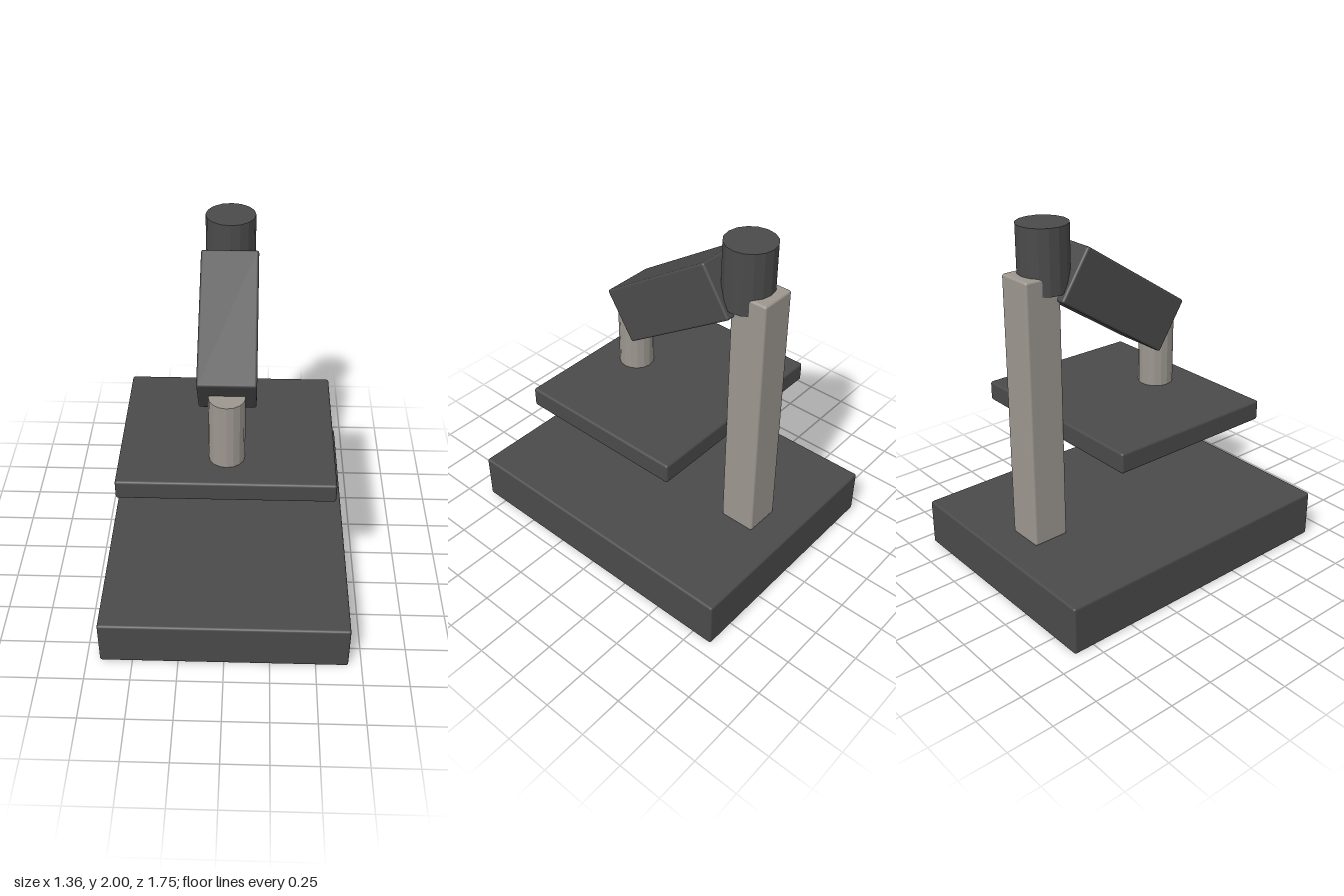
import * as THREE from 'three';
import { RoundedBoxGeometry } from 'three/addons/geometries/RoundedBoxGeometry.js';

export function createModel() {
  const model = new THREE.Group();
  model.name = 'microscope';

  const dark = new THREE.MeshStandardMaterial({ color: 0x4a4a4a });
  dark.name = 'dark grey';
  const metal = new THREE.MeshStandardMaterial({ color: 0x9c968f });
  metal.name = 'warm grey metal';
  // Faceted cylinders share the same two colours
  dark.flatShading = false;

  function add(name, geometry, material, x, y, z) {
    const mesh = new THREE.Mesh(geometry, material);
    mesh.name = name;
    mesh.position.set(x, y, z);
    model.add(mesh);
    return mesh;
  }
  const block = (w, h, d) => new RoundedBoxGeometry(w, h, d, 2, 0.013);
  // Round part with sixteen flat sides
  function rod(radius, height) {
    const g = new THREE.CylinderGeometry(radius, radius, height, 16).toNonIndexed();
    g.computeVertexNormals();
    return g;
  }

  // Heavy foot and the pillar at its back
  add('base', block(1.355, 0.272, 1.745), dark, 0, 0.136, 0);
  add('column', block(0.208, 1.48, 0.208), metal, 0, 1.01, -0.582);

  // Specimen table in front of the pillar
  add('stage', block(1.16, 0.112, 0.97), dark, 0, 0.897, 0);

  // Slanted body tube, front end lower
  const tube = add('bodyTube', block(0.308, 0.308, 0.778), dark, 0, 1.537, -0.096);
  tube.rotation.x = 0.58;

  // Lens above the stage and eyepiece at the top
  add('objective', rod(0.097, 0.39), metal, 0, 1.145, 0.252);
  add('eyepiece', rod(0.136, 0.343), dark, 0, 1.8285, -0.504);

  return model;
}
